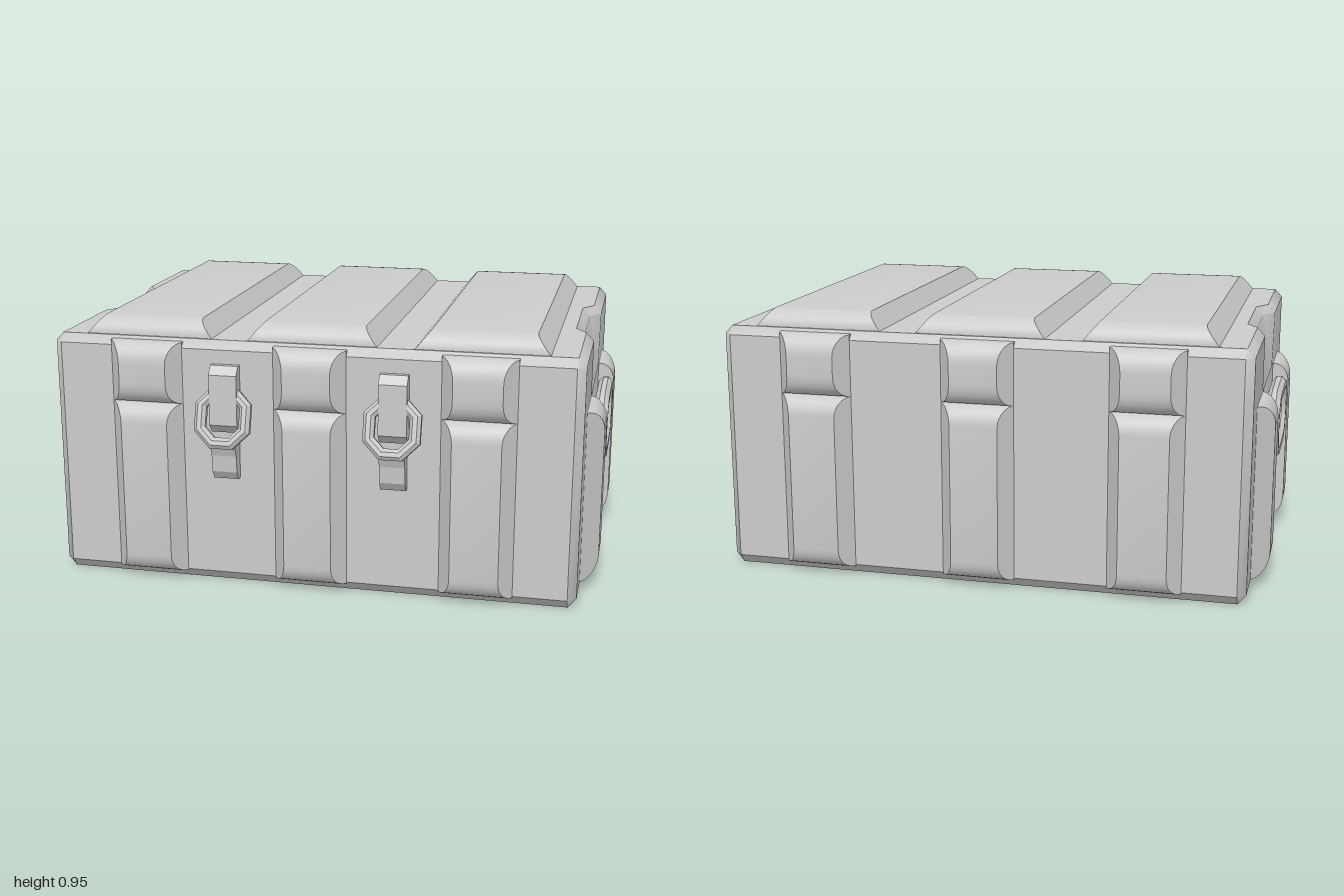
import * as THREE from 'three';
import { toCreasedNormals } from 'three/addons/utils/BufferGeometryUtils.js';

const material = new THREE.MeshStandardMaterial({ color: 0xcccccc });
const CZ = -0.025; // middle of the body in z
const HX = 0.94, HZ = 0.675; // half sizes of the body

function add(parent, name, geometry) {
  const mesh = new THREE.Mesh(geometry, material);
  mesh.name = name;
  parent.add(mesh);
  return mesh;
}

// Closed skin through rings of [x, y, z], counter-clockwise seen from +y, rising
function loft(rings, crease) {
  const n = rings[0].length, index = [], points = rings.flat();
  for (let i = 0; i < rings.length - 1; i++) {
    for (let j = 0; j < n; j++) {
      const a = i * n + j, b = i * n + (j + 1) % n;
      index.push(a, b, b + n, a, b + n, a + n);
    }
  }
  [rings[0], rings[rings.length - 1]].forEach((ring, end) => {
    const base = end ? (rings.length - 1) * n : 0;
    const middle = [0, 1, 2].map((k) => ring.reduce((s, p) => s + p[k], 0) / n);
    const m = points.push(middle) - 1;
    for (let j = 0; j < n; j++) {
      const a = base + j, b = base + (j + 1) % n;
      if (end) index.push(m, a, b);
      else index.push(m, b, a);
    }
  });
  const geometry = new THREE.BufferGeometry();
  geometry.setAttribute('position', new THREE.Float32BufferAttribute(points.flat(), 3));
  geometry.setIndex(index);
  return toCreasedNormals(geometry, crease);
}

// Outline of the body at height y, inset at the rims and notched at both ends
function bodyRing([y, inset, notch]) {
  const c = 0.03, x = HX - inset, z = HZ - inset;
  const half = [
    [HX - c, z], [x, HZ - c], [x, 0.25], [x - notch, 0.185],
    [x - notch, -0.185], [x, -0.25], [x, c - HZ], [HX - c, -z],
  ];
  return [...half, ...half.map(([a, b]) => [-a, -b])].map(([a, b]) => [a, y, b]);
}

// Raised rib along y from y0 to y1, standing out to +z, with rounded ends.
// a0..b0 is its width at the base, a1..b1 at the crest.
function ribGeometry([a0, a1, b1, b0], y0, y1, height, round) {
  const sink = 0.06, steps = 6, stations = [];
  for (let i = 0; i <= steps; i++) {
    const t = (i / steps) * Math.PI / 2;
    stations.push([round * (1 - Math.cos(t)), Math.sin(t)]);
  }
  const ring = (y, k) => {
    const l = a0 + (a1 - a0) * k, r = b0 + (b1 - b0) * k;
    return [[l, y, k * height], [r, y, k * height], [b0, y, 0],
      [b0, y, -sink], [a0, y, -sink], [a0, y, 0]];
  };
  const rings = stations.map(([d, k]) => ring(y0 + d, k));
  stations.reverse().forEach(([d, k]) => rings.push(ring(y1 - d, k)));
  return loft(rings, 0.5);
}

// Rectangle with rounded (or, with one segment, cut) corners
function loop(hw, hh, r, segments) {
  const points = [];
  [[1, 1], [-1, 1], [-1, -1], [1, -1]].forEach(([sx, sy], q) => {
    for (let i = 0; i <= segments; i++) {
      const t = (q + i / segments) * Math.PI / 2;
      points.push(new THREE.Vector2(
        sx * (hw - r) + r * Math.cos(t), sy * (hh - r) + r * Math.sin(t)));
    }
  });
  return points;
}

// Flat link with a hole and bevelled edges, centred on its own middle
function linkGeometry(outer, inner, depth, bevel) {
  const shape = new THREE.Shape(outer);
  shape.holes.push(new THREE.Path(inner));
  const geometry = new THREE.ExtrudeGeometry(shape, {
    depth: depth - 2 * bevel, bevelThickness: bevel, bevelSize: bevel,
    bevelOffset: -bevel, bevelSegments: 1,
  });
  return geometry.translate(0, 0, bevel - depth / 2);
}

// Side profile of [z, y] points extruded across x
function profileGeometry(profile, width) {
  const shape = new THREE.Shape(profile.map(([z, y]) => new THREE.Vector2(z, y)));
  const geometry = new THREE.ExtrudeGeometry(shape, { depth: width, bevelEnabled: false });
  return geometry.translate(0, 0, -width / 2).rotateY(-Math.PI / 2);
}

export function createModel() {
  const model = new THREE.Group();
  model.name = 'storageCase';

  // Case with bevelled rims, sloped handle recesses and a notched lid
  const body = add(model, 'caseBody', loft([
    [0, 0.028, 0], [0.035, 0, 0], [0.61, 0, 0.04],
    [0.66, 0, 0], [0.86, 0, 0.04], [0.89, 0.028, 0.04],
  ].map(bodyRing), 0.65));
  body.position.z = CZ;

  // Ribs over the front, back and lid
  const wall = [-0.13, -0.085, 0.085, 0.13];
  const lowerRib = ribGeometry(wall, 0.03, 0.66, 0.055, 0.07);
  const upperRib = ribGeometry(wall, 0.66, 0.88, 0.055, 0.075);
  const topRib = ribGeometry([-0.23, -0.18, 0.18, 0.23], -0.64, 0.64, 0.06, 0.07);
  for (const x of [-0.59, 0, 0.59]) {
    for (const side of [1, -1]) {
      const place = side > 0 ? 'front' : 'back';
      for (const [name, geometry] of [['LowerRib', lowerRib], ['LidRib', upperRib]]) {
        const rib = add(model, place + name, geometry);
        rib.position.set(x, 0, CZ + side * HZ);
        rib.rotation.y = side > 0 ? 0 : Math.PI;
      }
    }
    const rib = add(model, 'lidTopRib', topRib);
    rib.position.set(x, 0.89, CZ);
    rib.rotation.x = -Math.PI / 2;
  }

  // Ends: a broad rib on either side of a carrying handle
  const endRibs = [[-0.495, -0.42, -0.28, -0.25], [0.25, 0.28, 0.42, 0.495]]
    .map((w) => ribGeometry(w, 0.035, 0.66, 0.06, 0.08));
  const handle = linkGeometry(loop(0.235, 0.13, 0.125, 4), loop(0.18, 0.075, 0.07, 4), 0.05, 0.016);
  for (const side of [1, -1]) {
    const end = new THREE.Group();
    end.name = side > 0 ? 'leftEnd' : 'rightEnd';
    end.position.set(side * HX, 0, CZ);
    end.rotation.y = side * Math.PI / 2;
    endRibs.forEach((geometry) => add(end, 'endRib', geometry));
    add(end, 'carryHandle', handle).position.set(0, 0.51, 0.035);
    model.add(end);
  }

  // Latches: strap on the lid, tilted link and catch on the case
  const strap = profileGeometry(
    [[0.63, 0.57], [0.67, 0.57], [0.695, 0.6], [0.695, 0.78], [0.67, 0.81], [0.63, 0.81]], 0.1);
  const hook = profileGeometry(
    [[0.63, 0.4], [0.67, 0.4], [0.69, 0.43], [0.695, 0.49], [0.71, 0.53], [0.63, 0.53]], 0.09);
  const link = linkGeometry(loop(0.1, 0.11, 0.06, 1), loop(0.06, 0.07, 0.035, 1), 0.04, 0.012);
  for (const x of [-0.3, 0.3]) {
    const latch = new THREE.Group();
    latch.name = 'latch';
    latch.position.x = x;
    add(latch, 'latchStrap', strap);
    add(latch, 'latchCatch', hook);
    const ring = add(latch, 'latchLink', link);
    ring.position.set(0, 0.63, 0.695);
    ring.rotation.x = -0.3;
    model.add(latch);
  }
  return model;
}
